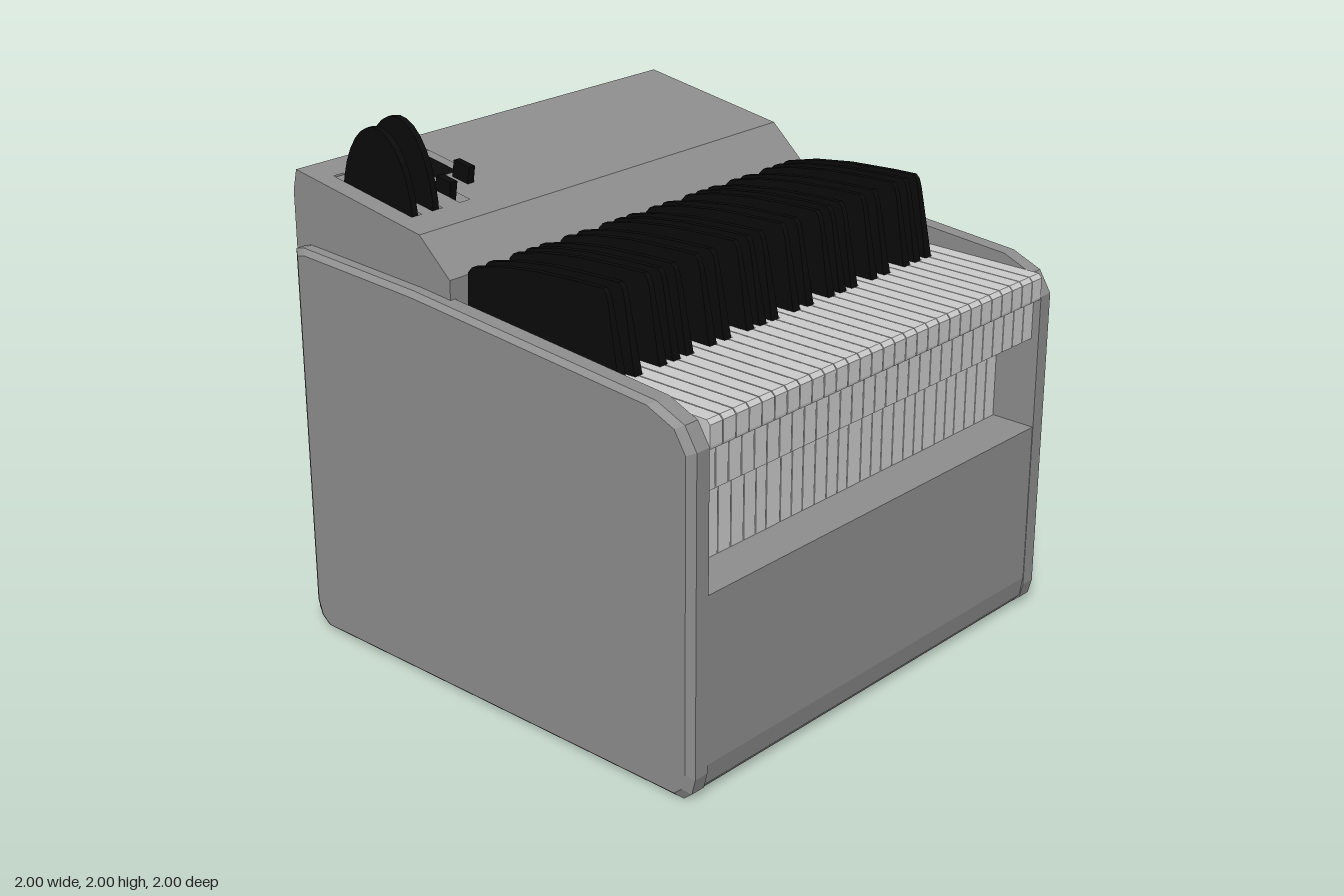
import * as THREE from 'three';

const paint = (color) => new THREE.MeshStandardMaterial({ color, flatShading: true });

export function createModel() {
  const model = new THREE.Group();
  const casing = paint(0x8e8e8e), ivory = paint(0xcccccc), black = paint(0x0a0a0a);

  const add = (name, geometry, material, parent = model) => {
    const mesh = new THREE.Mesh(geometry, material);
    mesh.name = name;
    parent.add(mesh);
    return mesh;
  };
  const group = (name) => {
    const g = new THREE.Group();
    g.name = name;
    model.add(g);
    return g;
  };
  // Box given by its limits on each axis
  const box = (name, [x0, x1], [y0, y1], [z0, z1], material, parent) => {
    const mesh = add(name, new THREE.BoxGeometry(x1 - x0, y1 - y0, z1 - z0), material, parent);
    mesh.position.set((x0 + x1) / 2, (y0 + y1) / 2, (z0 + z1) / 2);
    return mesh;
  };
  // Side profile of [z, y] points, extruded from x0 to x1, then reshaped by a rule
  const sideExtrude = (points, x0, x1, steps, rule) => {
    const shape = new THREE.Shape(points.map(([z, y]) => new THREE.Vector2(-z, y)));
    const g = new THREE.ExtrudeGeometry(shape, { depth: x1 - x0, steps, bevelEnabled: false });
    g.rotateY(Math.PI / 2).translate(x0, 0, 0);
    const p = g.attributes.position, v = new THREE.Vector3();
    for (let i = 0; i < p.count; i++) {
      rule(v.fromBufferAttribute(p, i));
      p.setXYZ(i, v.x, v.y, v.z);
    }
    g.computeVertexNormals();
    return g;
  };

  // Main body, with bevelled back corners
  add('body', sideExtrude([
    [-0.95, 0], [-0.98, 0.03], [-1, 0.1], [-1, 1.7], [-0.945, 1.78], [-0.945, 1.71],
    [-0.3, 1.61], [-0.3, 1.68], [-0.155, 1.55], [-0.155, 1.25], [0.8, 1.25], [0.8, 0.75],
    [0.998, 0.75], [0.998, 0.12], [0.985, 0.04], [0.95, 0],
  ], -0.94, 0.94, 27, (v) => {
    if (Math.abs(v.x) > 0.935) v.z = Math.max(v.z, -0.965);
  }), casing);

  // Side panels, bevelled around the outer face
  const panelProfile = [
    [0.95, 0], [0.985, 0.03], [1, 0.09], [1, 1.27], [0.95, 1.35], [0.83, 1.4],
    [-0.3, 1.49], [-0.88, 1.51], [-0.92, 1.5], [-0.92, 0.09], [-0.9, 0.03], [-0.86, 0],
  ];
  for (const side of [-1, 1]) {
    const x0 = side > 0 ? 0.92 : -1;
    add(side > 0 ? 'leftPanel' : 'rightPanel', sideExtrude(panelProfile, x0, x0 + 0.08, 4, (v) => {
      if (Math.abs(v.x) < 0.995) return;
      v.z = 0.04 + (v.z - 0.04) * 0.97;
      v.y = 0.75 + (v.y - 0.75) * 0.975;
    }), casing);
  }

  // Sloping control deck with slots cut through it
  const deckY = (z) => 1.68 + (-0.3 - z) * 0.155;
  const rect = (C, x0, x1, z0, z1) => new C([[x0, -z0], [x1, -z0], [x1, -z1], [x0, -z1]]
    .map(([x, y]) => new THREE.Vector2(x, y)));
  const deckShape = rect(THREE.Shape, -0.94, 0.94, -0.945, -0.3);
  for (const [x0, x1, z0] of [[-0.865, -0.82, -0.42], [-0.77, -0.722, -0.42],
    [-0.64, -0.592, -0.42], [-0.563, -0.42, -0.625]]) {
    deckShape.holes.push(rect(THREE.Path, x0, x1, -0.83, z0));
  }
  const deck = new THREE.ExtrudeGeometry(deckShape, { depth: 0.07, bevelEnabled: false });
  deck.rotateX(-Math.PI / 2);
  const dp = deck.attributes.position;
  for (let i = 0; i < dp.count; i++) dp.setY(i, dp.getY(i) - 0.07 + deckY(dp.getZ(i)));
  deck.computeVertexNormals();
  add('controlDeck', deck, casing);

  // Two tall wheels, a slider on its rail, a display and a knob
  const controls = group('controls');
  [[-0.843, 1.98], [-0.746, 2]].forEach(([x, top]) => {
    const g = new THREE.CylinderGeometry(1, 1, 0.026, 32).rotateZ(Math.PI / 2);
    g.scale(1, 0.34, 0.185);
    add('wheel', g, black, controls).position.set(x, top - 0.34, -0.61);
  });
  const tilted = (name, xs, zs, low, high, material) => {
    const y = deckY((zs[0] + zs[1]) / 2);
    box(name, xs, [y + low, y + high], zs, material, controls).rotation.x = Math.atan(0.155);
  };
  tilted('sliderRail', [-0.622, -0.61], [-0.825, -0.425], -0.07, -0.02, casing);
  tilted('slider', [-0.633, -0.6], [-0.555, -0.48], -0.06, 0.05, black);
  tilted('display', [-0.556, -0.427], [-0.815, -0.65], -0.06, -0.02, black);
  tilted('knob', [-0.508, -0.478], [-0.595, -0.515], -0.01, 0.065, black);

  // Black key positions within an octave, over four octaves
  const pitch = 1.84 / 29;
  const blackXs = [];
  for (let octave = 0; octave < 4; octave++) {
    for (const dx of [0.055, 0.13, 0.25, 0.316, 0.382]) blackXs.push(-0.92 + octave * 7 * pitch + dx);
  }

  // White keys: wide head, tail notched around the black keys, stepped front
  const whiteKeys = group('whiteKeys');
  for (let i = 0; i < 29; i++) {
    const x0 = -0.92 + i * pitch, x1 = x0 + pitch;
    const blackAt = (x) => blackXs.find((b) => Math.abs(b - x) < 0.025);
    const b0 = blackAt(x0), b1 = blackAt(x1);
    const l = x0 + 0.002, r = x1 - 0.002;
    const tail = [b0 === undefined ? l : Math.max(l, b0 + 0.021), b1 === undefined ? r : Math.min(r, b1 - 0.021)];
    const stem = [(b0 ?? x0) + 0.002, (b1 ?? x1) - 0.002];
    add('whiteKeyHead', sideExtrude([
      [0.58, 1.26], [0.998, 1.26], [1, 1.27], [1, 1.345], [0.985, 1.36], [0.58, 1.36],
    ], l, r, 1, () => {}), ivory, whiteKeys);
    box('whiteKeyTail', tail, [1.25, 1.36], [-0.155, 0.58], ivory, whiteKeys);
    box('whiteKeySkirt', [l, r], [1.1, 1.26], [0.8, 0.97], ivory, whiteKeys);
    box('whiteKeyStem', stem, [0.75, 1.1], [0.79, 0.82], ivory, whiteKeys);
  }

  // Black keys, tapering towards the top
  const blackKeys = group('blackKeys');
  for (const x of blackXs) {
    const key = add('blackKey', sideExtrude([
      [-0.14, 1.25], [0.575, 1.25], [0.575, 1.36], [0.525, 1.62], [0.515, 1.65], [0.5, 1.665], [0.4, 1.662],
      [0.2, 1.65], [0.03, 1.627], [-0.11, 1.592], [-0.13, 1.57], [-0.135, 1.36],
    ], -0.019, 0.019, 1, (v) => {
      v.x *= 1 - 0.45 * Math.max(0, (v.y - 1.36) / 0.3);
    }), black, blackKeys);
    key.position.x = x;
  }

  return model;
}
